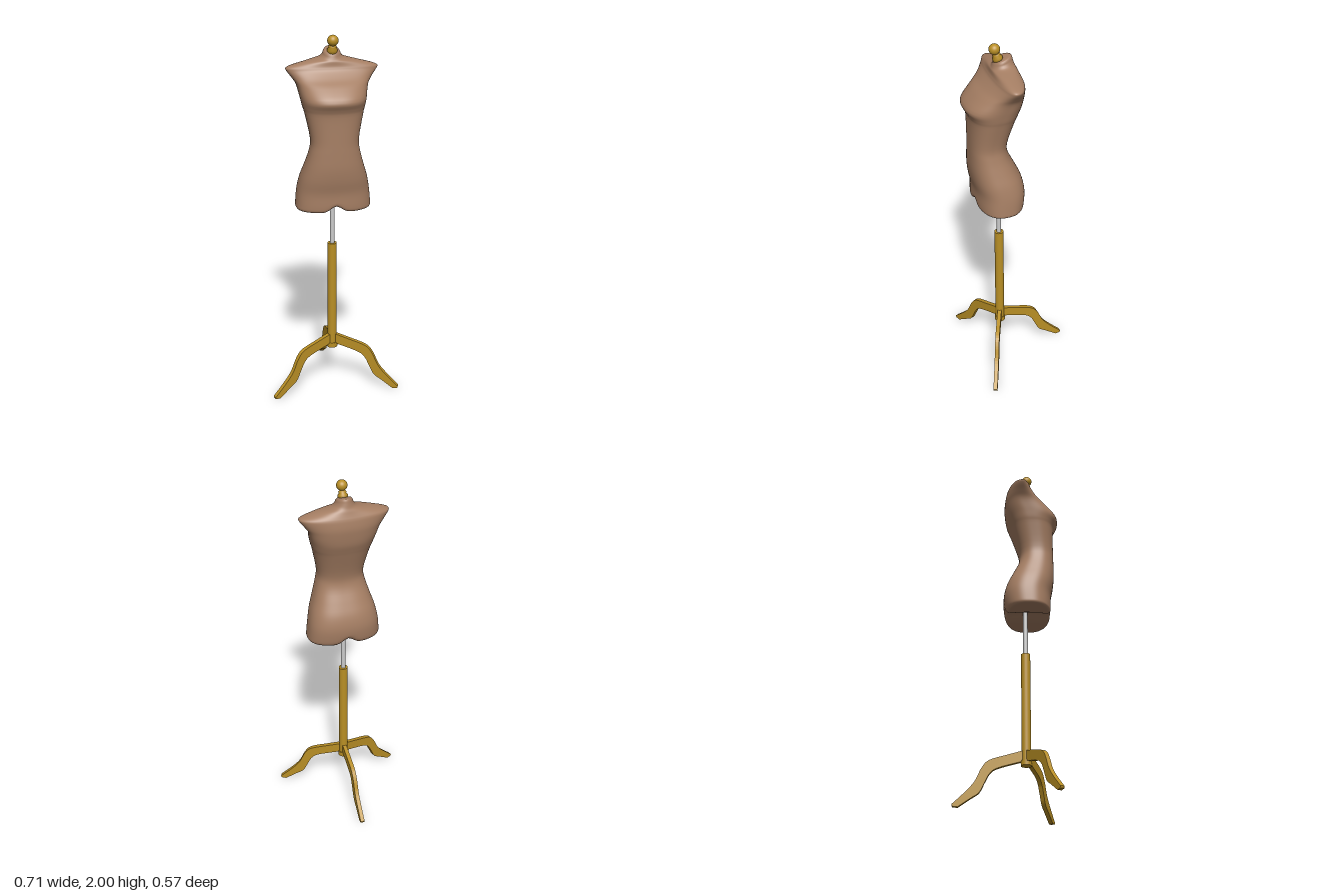
import * as THREE from 'three';

const { lerp, smoothstep, degToRad } = THREE.MathUtils;
const fabric = new THREE.MeshStandardMaterial({ color: 0xa57e63 });
const wood = new THREE.MeshStandardMaterial({ color: 0xb98f25 });
const metal = new THREE.MeshStandardMaterial({ color: 0xcccccc });
const AXIS_Z = 0.1; // the stand's axis

// Torso sections, bottom to top: [y, half width, back z, front z]
const SECTIONS = [
  [1.08, 0, 0.11, 0.11],
  [1.078, 0.1, 0.05, 0.17],
  [1.076, 0.18, 0.008, 0.22],
  [1.084, 0.2, -0.006, 0.236],
  [1.11, 0.201, -0.016, 0.24],
  [1.18, 0.194, -0.021, 0.241],
  [1.25, 0.18, -0.007, 0.254],
  [1.32, 0.158, 0.025, 0.261],
  [1.4, 0.135, 0.062, 0.261],
  [1.47, 0.127, 0.064, 0.26],
  [1.6, 0.152, 0.024, 0.26],
  [1.64, 0.163, 0.01, 0.27],
  [1.685, 0.173, -0.005, 0.286],
  [1.745, 0.188, -0.014, 0.232],
  [1.78, 0.21, -0.016, 0.186],
  [1.815, 0.236, -0.012, 0.15],
  [1.832, 0.24, -0.008, 0.14],
  [1.845, 0.21, -0.003, 0.136],
  [1.865, 0.13, 0.005, 0.134],
  [1.879, 0.07, 0.013, 0.13],
  [1.895, 0.05, 0.019, 0.126],
  [1.91, 0.044, 0.024, 0.121],
  [1.919, 0.034, 0.034, 0.112],
  [1.92, 0, 0.08, 0.08],
];

// Smooth blend of the sections at a fractional row
function sectionAt(t) {
  const last = SECTIONS.length - 1;
  const i = Math.min(Math.floor(t), last - 1), f = t - i;
  const row = k => SECTIONS[Math.max(0, Math.min(last, k))];
  return row(i).map((p1, k) => {
    const p0 = row(i - 1)[k], p2 = row(i + 1)[k], p3 = row(i + 2)[k];
    return p1 + 0.5 * f * (p2 - p0 + f * (2 * p0 - 5 * p1 + 4 * p2 - p3 + f * (3 * (p1 - p2) + p3 - p0)));
  });
}

function torsoGeometry(around = 96, steps = 4) {
  const positions = [], indices = [];
  const rings = (SECTIONS.length - 1) * steps;
  for (let j = 0; j <= rings; j++) {
    const [y, halfWidth, back, front] = sectionAt(j / steps);
    // the widest point moves back to the shoulder tips, sections get rounder upwards
    const widest = lerp((back + front) / 2, 0.08, smoothstep(y, 1.58, 1.78));
    const power = 2 / lerp(2.5, 2, smoothstep(y, 1.7, 1.87));
    const lift = 0.035 * (1 - smoothstep(y, 1.08, 1.15)); // crotch
    const tilt = 0.3 * smoothstep(y, 1.855, 1.91); // neck leans forward
    for (let i = 0; i < around; i++) {
      const a = (i / around) * Math.PI * 2;
      const s = Math.sin(a), c = Math.cos(a);
      const x = halfWidth * Math.sign(s) * Math.abs(s) ** power;
      const reach = c > 0 ? front - widest : widest - back;
      const z = widest + reach * Math.sign(c) * Math.abs(c) ** power;
      positions.push(x, y + lift * Math.exp(-((x / 0.04) ** 2)) - tilt * (z - 0.075), z);
      if (j < rings) {
        const p = j * around + i, q = j * around + (i + 1) % around;
        indices.push(p, q, q + around, p, q + around, p + around);
      }
    }
  }
  const geometry = new THREE.BufferGeometry();
  geometry.setAttribute('position', new THREE.Float32BufferAttribute(positions, 3));
  geometry.setIndex(indices);
  geometry.computeVertexNormals();
  return geometry;
}

// Curved leg: underside and top edges as splines of distance from the axis and height
function legGeometry() {
  const width = 0.023;
  const points = list => list.map(([r, y]) => new THREE.Vector2(r, y));
  const shape = new THREE.Shape();
  shape.moveTo(0, 0.25);
  shape.splineThru(points([[0.145, 0.21], [0.19, 0.18], [0.215, 0.135], [0.245, 0.077], [0.29, 0.045], [0.355, 0]]));
  shape.lineTo(0.383, 0.003);
  shape.lineTo(0.386, 0.014);
  shape.splineThru(points([[0.32, 0.077], [0.27, 0.135], [0.235, 0.207], [0.195, 0.25], [0.1, 0.28], [0, 0.308]]));
  return new THREE.ExtrudeGeometry(shape, { depth: width, bevelEnabled: false, curveSegments: 4 })
    .translate(0, 0, -width / 2);
}

// Stepped collar and ball
function finialGeometry() {
  const profile = new THREE.Path();
  profile.moveTo(0, -0.01);
  profile.lineTo(0.025, -0.01);
  profile.lineTo(0.027, 0.014);
  profile.lineTo(0.018, 0.024);
  profile.lineTo(0.022, 0.03);
  profile.lineTo(0.015, 0.037);
  profile.absarc(0, 0.063, 0.029, -1.05, Math.PI / 2);
  return new THREE.LatheGeometry(profile.getPoints(20), 32);
}

export function createModel() {
  const model = new THREE.Group();
  const add = (name, geometry, material, y = 0, z = AXIS_Z) => {
    const mesh = new THREE.Mesh(geometry, material);
    mesh.name = name;
    mesh.position.set(0, y, z);
    model.add(mesh);
    return mesh;
  };
  const post = (name, radius, bottom, top, material) =>
    add(name, new THREE.CylinderGeometry(radius, radius, top - bottom, 32), material, (bottom + top) / 2);

  add('torso', torsoGeometry(), fabric, 0, 0);

  // Stand
  post('metalPole', 0.013, 0.84, 1.14, metal);
  post('woodenPost', 0.025, 0.235, 0.855, wood);
  post('postFoot', 0.03, 0.222, 0.25, wood);

  // One leg to the back, two to the front sides
  const leg = legGeometry();
  [['backLeg', 90], ['frontLeftLeg', -24], ['frontRightLeg', 204]].forEach(([name, degrees]) => {
    add(name, leg, wood).rotation.y = degToRad(degrees);
  });

  // Finial leaning with the neck
  add('neckFinial', finialGeometry(), wood, 1.911, 0.095).rotation.x = 0.3;

  return model;
}
